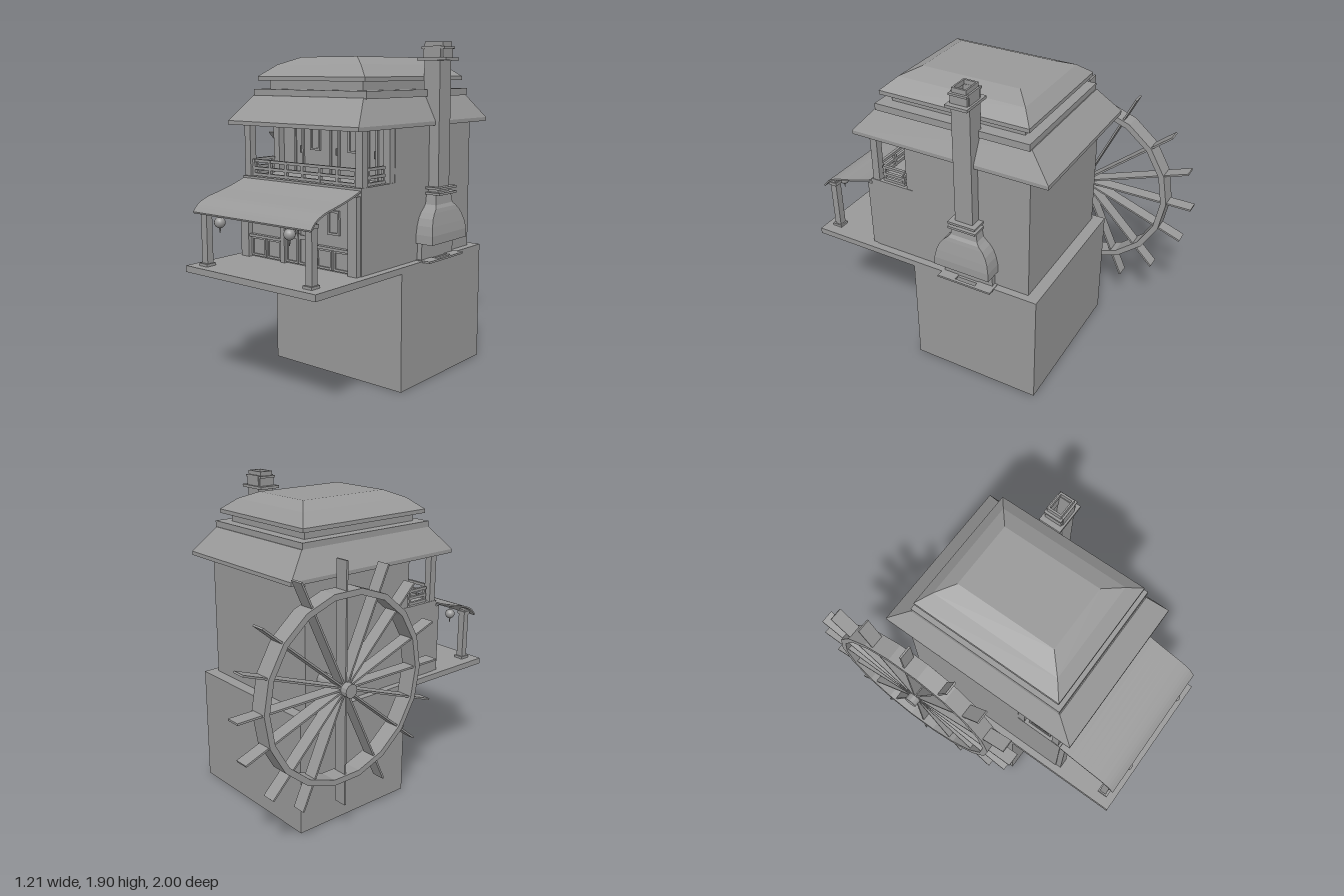
import * as THREE from 'three';

const grey = new THREE.MeshStandardMaterial({ color: 0x999999, flatShading: true, side: THREE.DoubleSide });
const smooth = new THREE.MeshStandardMaterial({ color: 0x999999, side: THREE.DoubleSide });
const CX = 0.06; // centre line of the house

function add(parent, name, geometry, material = grey) {
  const mesh = new THREE.Mesh(geometry, material);
  mesh.name = name;
  parent.add(mesh);
  return mesh;
}

// Box given by its limits on each axis
function box(parent, name, x0, x1, y0, y1, z0, z1) {
  const m = add(parent, name, new THREE.BoxGeometry(x1 - x0, y1 - y0, z1 - z0));
  m.position.set((x0 + x1) / 2, (y0 + y1) / 2, (z0 + z1) / 2);
}

// Skin over rectangular rings [x0, x1, z0, z1, y]
function loft(parent, name, rings, bottomCap = true, topCap = true) {
  const corners = rings.map(([x0, x1, z0, z1, y]) => [[x0, y, z1], [x1, y, z1], [x1, y, z0], [x0, y, z0]]);
  const pos = [];
  const quad = (a, b, c, d) => pos.push(...a, ...b, ...c, ...a, ...c, ...d);
  for (let r = 0; r < corners.length - 1; r++) {
    for (let i = 0; i < 4; i++) {
      const j = (i + 1) % 4;
      quad(corners[r][i], corners[r][j], corners[r + 1][j], corners[r + 1][i]);
    }
  }
  if (bottomCap) quad(...[...corners[0]].reverse());
  if (topCap) quad(...corners[corners.length - 1]);
  const g = new THREE.BufferGeometry();
  g.setAttribute('position', new THREE.Float32BufferAttribute(pos, 3));
  g.computeVertexNormals();
  add(parent, name, g);
}

function group(parent, name) {
  const g = new THREE.Group();
  g.name = name;
  parent.add(g);
  return g;
}

// Rectangular frame with a panel set back inside it
function framedPanel(parent, name, x0, x1, y0, y1, z, w = 0.012) {
  const g = group(parent, name);
  box(g, 'panel', x0 + w, x1 - w, y0 + w, y1 - w, z, z + 0.004);
  for (const [a, b] of [[x0, x0 + w], [x1 - w, x1]]) box(g, 'stile', a, b, y0, y1, z, z + 0.012);
  for (const [a, b] of [[y0, y0 + w], [y1 - w, y1]]) box(g, 'rail', x0 + w, x1 - w, a, b, z, z + 0.012);
}

function buildHouse(root) {
  // Base and deck are open underneath
  loft(root, 'base', [[-0.41, 0.535, -0.49, 0.31, 0], [-0.41, 0.535, -0.49, 0.31, 0.703]], false);
  loft(root, 'deck', [[-0.41, 0.535, 0.31, 1, 0.667], [-0.41, 0.535, 0.31, 1, 0.703]], false);
  box(root, 'lowerFloor', -0.37, 0.49, 0.7, 1.16, -0.42, 0.6);
  box(root, 'upperFloor', -0.37, 0.49, 1.16, 1.46, -0.42, 0.315);

  // Ground floor front
  const front = group(root, 'lowerFront');
  for (const s of [-1, 1]) {
    const m = (a, b) => (s < 0 ? [CX - b, CX - a] : [CX + a, CX + b]);
    box(front, 'cornerPost', ...m(0.365, 0.425), 0.7, 1.12, 0.6, 0.632);
    box(front, 'doorPost', ...m(0.095, 0.125), 0.7, 1.1, 0.6, 0.622);
    box(front, 'sill', ...m(0.125, 0.365), 0.82, 0.835, 0.6, 0.625);
    framedPanel(front, 'lowerPanel', ...m(0.13, 0.24), 0.71, 0.82, 0.6);
    framedPanel(front, 'lowerPanel', ...m(0.25, 0.36), 0.71, 0.82, 0.6);
    framedPanel(front, 'lowerWindow', ...m(0.21, 0.29), 0.9, 1.03, 0.6);
    framedPanel(front, 'doorLower', ...m(0.002, 0.092), 0.71, 0.86, 0.6);
    framedPanel(front, 'doorUpper', ...m(0.002, 0.092), 0.86, 1.08, 0.6);
    box(front, 'doorHandle', ...m(0.008, 0.014), 0.88, 0.92, 0.612, 0.622);
  }

  // Upper wall behind the balcony
  const upper = group(root, 'upperFront');
  for (const x of [-0.195, 0.075, 0.345]) {
    framedPanel(upper, 'shutter', x - 0.035, x + 0.035, 1.16, 1.45, 0.315);
    box(upper, 'shutterHandle', x + 0.014, x + 0.02, 1.28, 1.32, 0.32, 0.332);
  }
  for (const x of [-0.07, 0.21]) framedPanel(upper, 'upperWindow', x - 0.037, x + 0.037, 1.3, 1.43, 0.315);
}

function buildBalcony(root) {
  const g = group(root, 'balcony');
  for (const x of [-0.345, 0.465]) {
    for (const z of [0.335, 0.565]) box(g, 'balconyPost', x - 0.022, x + 0.022, 1.16, 1.46, z - 0.022, z + 0.022);
    for (const y of [1.17, 1.205, 1.247]) box(g, 'sideRail', x - 0.009, x + 0.009, y - 0.008, y + 0.008, 0.38, 0.525);
    for (const z of [0.39, 0.515]) box(g, 'sideBaluster', x - 0.008, x + 0.008, 1.16, 1.255, z - 0.006, z + 0.006);
  }
  for (const y of [1.17, 1.205, 1.247]) box(g, 'frontRail', -0.32, 0.44, y - 0.008, y + 0.008, 0.558, 0.575);
  for (let i = 0; i < 7; i++) {
    const x = -0.31 + i * 0.74 / 6;
    box(g, 'frontBaluster', x - 0.008, x + 0.008, 1.16, 1.255, 0.557, 0.576);
  }
}

function buildRoof(root) {
  const g = group(root, 'roof');
  loft(g, 'lowerRoof', [
    [-0.41, 0.53, -0.54, 0.67, 1.45], [-0.41, 0.53, -0.54, 0.67, 1.472],
    [-0.335, 0.46, -0.41, 0.545, 1.61]]);
  box(g, 'roofBand', -0.335, 0.475, 1.605, 1.645, -0.405, 0.54);
  box(g, 'roofNeck', -0.27, 0.4, 1.64, 1.7, -0.34, 0.475);
  loft(g, 'upperRoof', [
    [-0.32, 0.45, -0.388, 0.522, 1.692], [-0.32, 0.45, -0.388, 0.522, 1.715],
    [-0.235, 0.365, -0.32, 0.45, 1.78], [-0.135, 0.265, -0.237, 0.357, 1.822]]);
}

function buildAwning(root) {
  const g = group(root, 'awning');
  // Curved sheet, drawn in side profile as (z, y)
  const top = new THREE.SplineCurve([[0.58, 1.155], [0.68, 1.12], [0.78, 1.092], [0.87, 1.07], [0.935, 1.04], [0.972, 1.0]]
    .map(([z, y]) => new THREE.Vector2(z, y))).getPoints(16);
  const shape = new THREE.Shape([...top, ...top.map(p => new THREE.Vector2(p.x - 0.003, p.y - 0.009)).reverse()]);
  const sheet = add(g, 'awningSheet', new THREE.ExtrudeGeometry(shape, { depth: 0.855, bevelEnabled: false }));
  sheet.rotation.y = -Math.PI / 2;
  sheet.position.x = 0.485;
  for (const x of [-0.32, 0.44]) {
    box(g, 'awningPost', x - 0.022, x + 0.022, 0.7, 1.03, 0.902, 0.942);
    box(g, 'postFoot', x - 0.03, x + 0.03, 0.7, 0.718, 0.893, 0.955);
    box(g, 'postHead', x - 0.028, x + 0.028, 1.0, 1.02, 0.896, 0.948);
  }
  for (const x of [-0.18, 0.325]) {
    const lamp = group(g, 'lantern');
    lamp.position.set(x, 0.96, 0.952);
    add(lamp, 'lanternGlobe', new THREE.SphereGeometry(0.03, 16, 12), smooth);
    add(lamp, 'lanternCord', new THREE.CylinderGeometry(0.004, 0.004, 0.035, 6)).position.y = 0.042;
    add(lamp, 'lanternTassel', new THREE.CylinderGeometry(0.006, 0.002, 0.03, 6)).position.y = -0.042;
  }
}

function buildChimney(root) {
  const g = group(root, 'chimney');
  const Z = -0.055;
  // Hollow ring of rectangular section: half sizes outside, half sizes inside
  const collar = (name, cx, ox, oz, ix, iz, y0, y1) => {
    const ring = (hx, hz, y) => [cx - hx, cx + hx, Z - hz, Z + hz, y];
    loft(g, name, [ring(ox, oz, y0), ring(ox, oz, y1), ring(ix, iz, y1), ring(ix, iz, y0), ring(ox, oz, y0)], false, false);
  };
  collar('shaft', 0.502, 0.052, 0.055, 0.045, 0.045, 1.06, 1.88);
  collar('lowerCap', 0.502, 0.095, 0.066, 0.045, 0.04, 1.802, 1.818);
  collar('capNeck', 0.503, 0.065, 0.05, 0.045, 0.04, 1.818, 1.87);
  collar('upperCap', 0.503, 0.075, 0.053, 0.045, 0.04, 1.865, 1.877);
  collar('topRim', 0.503, 0.06, 0.043, 0.048, 0.034, 1.877, 1.903);
  for (const y of [1.065, 1.095]) collar('hoodBand', 0.515, 0.07, 0.086, 0.04, 0.045, y, y + 0.013);

  // Bell-shaped hood: [height, outer x, half depth]
  const profile = [[0.8, 0.6, 0.174], [0.85, 0.6, 0.172], [0.9, 0.592, 0.162], [0.94, 0.584, 0.146],
    [0.97, 0.578, 0.125], [0.992, 0.572, 0.1], [1.01, 0.56, 0.084], [1.07, 0.553, 0.074]];
  loft(g, 'hood', profile.map(([y, x, h]) => [0.48, x, Z - h, Z + h, y]), false, false);
  box(g, 'hearth', 0.48, 0.52, 0.7, 0.8, -0.208, 0.104);
  // Ledge framing the hearth on three sides
  box(g, 'ledgeFront', 0.564, 0.582, 0.696, 0.707, -0.225, 0.115);
  for (const [a, b] of [[-0.225, -0.12], [0.01, 0.115]]) box(g, 'ledgeSide', 0.48, 0.564, 0.696, 0.707, a, b);
}

function buildWheel(root) {
  const g = group(root, 'waterWheel');
  g.position.set(-0.527, 0.88, -0.3);
  // Rim
  const circle = (C, r) => new C(Array.from({ length: 18 }, (_, i) =>
    new THREE.Vector2(r * Math.cos(i * Math.PI / 9), r * Math.sin(i * Math.PI / 9))));
  const ring = circle(THREE.Shape, 0.55);
  ring.holes.push(circle(THREE.Path, 0.515));
  const rim = new THREE.ExtrudeGeometry(ring, { depth: 0.105, bevelEnabled: false });
  rim.translate(0, 0, -0.0525).rotateY(Math.PI / 2);
  add(g, 'wheelRim', rim);
  // Planks across the whole wheel, a paddle at each end
  for (const angle of [0, 20, 40, 65, 90, 115, 135, 160]) {
    add(g, 'paddle', new THREE.BoxGeometry(0.08, 1.4, 0.011)).rotation.x = (angle - 90) * Math.PI / 180;
  }
  // Axle into the house wall
  const axle = add(g, 'axle', new THREE.CylinderGeometry(0.04, 0.04, 0.25, 12));
  axle.rotation.z = Math.PI / 2;
  axle.position.x = 0.042;
}

export function createModel() {
  const root = new THREE.Group();
  root.name = 'waterMillHouse';
  buildHouse(root);
  buildBalcony(root);
  buildRoof(root);
  buildAwning(root);
  buildChimney(root);
  buildWheel(root);
  return root;
}
